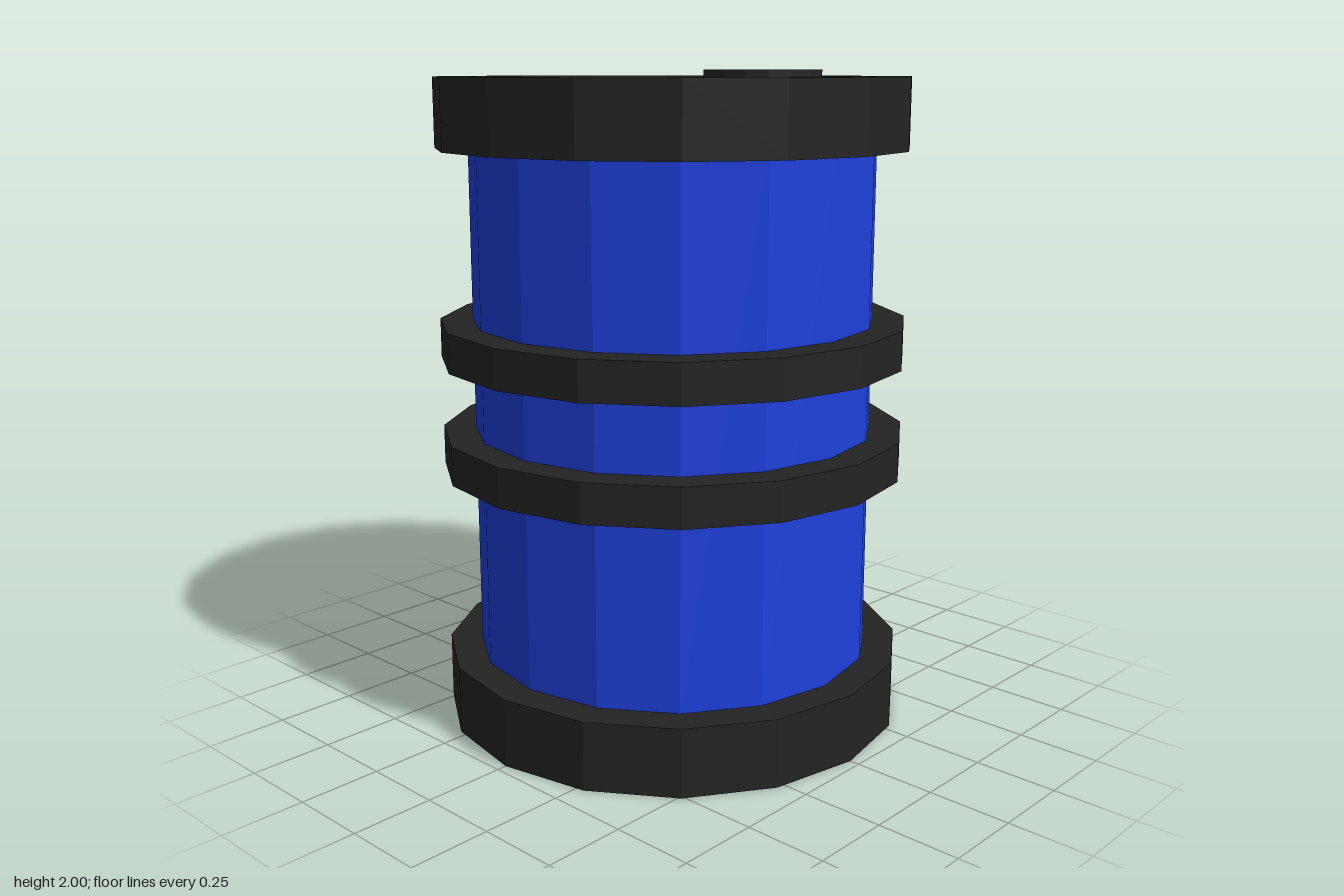
import * as THREE from 'three';

const SIDES = 16;
const OUTER = 0.72;
const INNER = 0.62;

export function createModel() {
  const barrel = new THREE.Group();
  barrel.name = 'barrel';
  const blue = new THREE.MeshStandardMaterial({ color: 0x1e40dc, flatShading: true });
  const black = new THREE.MeshStandardMaterial({ color: 0x242424, flatShading: true });

  const add = (name, geometry, material) => {
    const mesh = new THREE.Mesh(geometry, material);
    mesh.name = name;
    barrel.add(mesh);
    return mesh;
  };
  // Faceted disc or drum between two heights
  const drum = (name, radius, y0, y1, material, open = false) => {
    const mesh = add(name, new THREE.CylinderGeometry(radius, radius, y1 - y0, SIDES, 1, open), material);
    mesh.position.y = (y0 + y1) / 2;
    return mesh;
  };

  // Body wall, running inside the rims
  drum('body', INNER, 0.2, 1.8, blue, true);

  // Base and the two hoops
  drum('baseRim', OUTER, 0, 0.21, black);
  drum('lowerHoop', OUTER, 0.79, 0.91, black);
  drum('upperHoop', OUTER, 1.13, 1.25, black);

  // Top rim with a sunken lid
  const profile = [[0, 1.77], [OUTER, 1.77], [OUTER, 1.98], [INNER, 1.98], [INNER, 1.94], [0, 1.94]];
  add('topRim', new THREE.LatheGeometry(profile.map(([r, y]) => new THREE.Vector2(r, y)), SIDES), black);

  // Off-centre filler cap
  const cap = drum('fillerCap', 0.175, 1.93, 2, black);
  cap.position.x = 0.245;
  cap.position.z = -0.125;

  return barrel;
}
